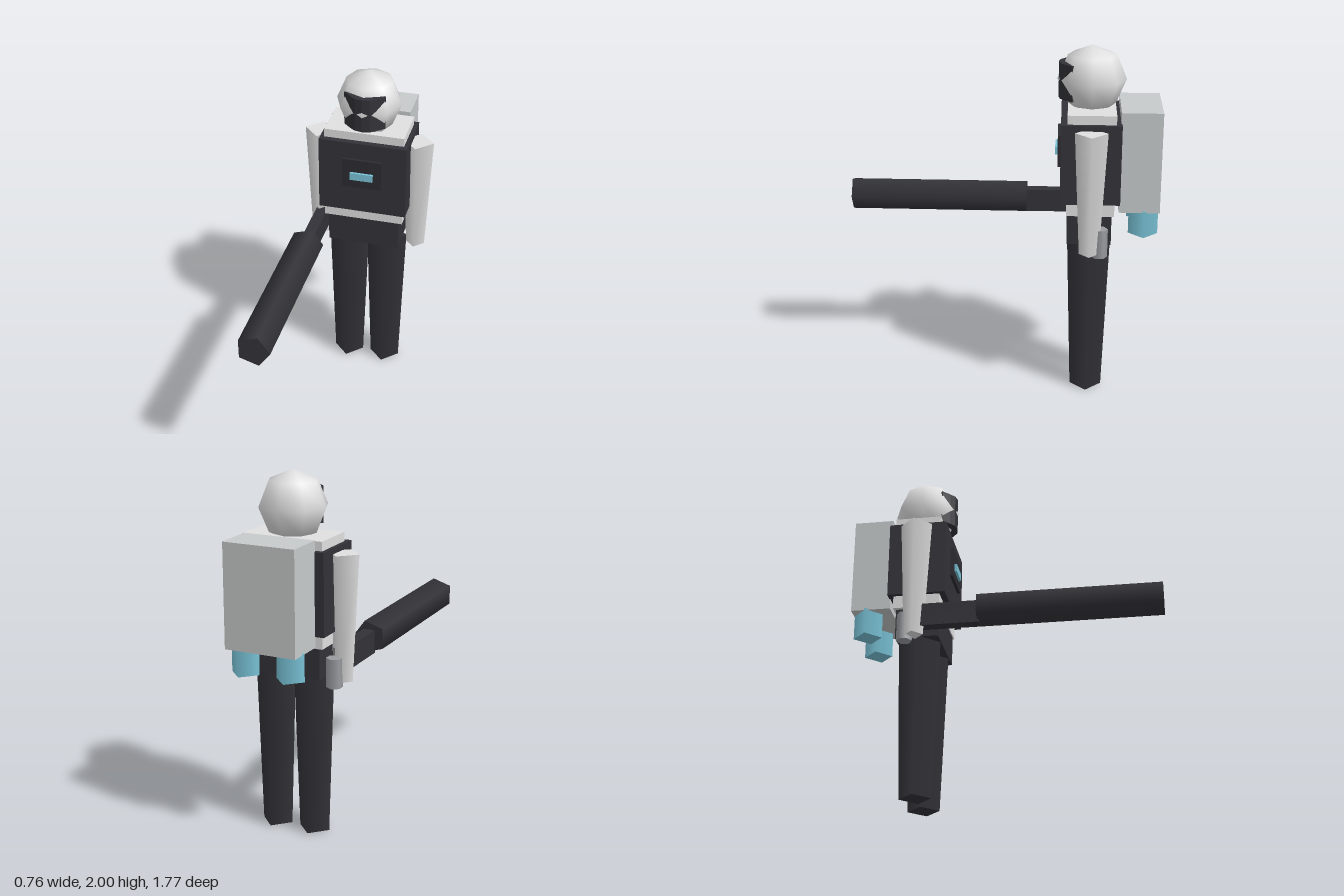
import * as THREE from 'three';

const paint = (name, color) => {
  const m = new THREE.MeshStandardMaterial({ color });
  m.name = name;
  return m;
};

export function createModel() {
  const model = new THREE.Group();
  model.name = 'armouredFigure';

  const charcoal = paint('charcoal', 0x333238);
  const panelDark = paint('panelCharcoal', 0x2c2b31);
  const white = paint('offWhite', 0xe0e0e0);
  const packGrey = paint('packGrey', 0xc6caca);
  const handGrey = paint('handGrey', 0x999ba0);
  const cyan = paint('cyan', 0x7ac4d8);

  const add = (name, geometry, material, x, y, z) => {
    const mesh = new THREE.Mesh(geometry, material);
    mesh.name = name;
    mesh.position.set(x, y, z);
    model.add(mesh);
    return mesh;
  };
  // Box given by its lower and upper corners
  const box = (name, material, [x0, y0, z0], [x1, y1, z1]) =>
    add(name, new THREE.BoxGeometry(x1 - x0, y1 - y0, z1 - z0), material,
      (x0 + x1) / 2, (y0 + y1) / 2, (z0 + z1) / 2);
  // Upright tapered post between two heights
  const post = (name, material, rTop, rBottom, y0, y1, x, z, sides = 4) =>
    add(name, new THREE.CylinderGeometry(rTop, rBottom, y1 - y0, sides), material, x, (y0 + y1) / 2, z);

  // Head
  add('head', new THREE.SphereGeometry(0.19, 8, 4), white, 0, 1.81, -0.5);

  // Visor: a bent band that pokes through the faceted head
  const half = [[0.045, 0.174], [0.075, 0.15], [0.12, 0.109]];
  const outline = [
    ...half.map(([x, z]) => [-x, z]).reverse(), [0, 0.183], ...half, [0.08, 0.08], [-0.08, 0.08],
  ].map(([x, z]) => new THREE.Vector2(x, -z));
  const visor = new THREE.ExtrudeGeometry(new THREE.Shape(outline), { depth: 0.2, bevelEnabled: false });
  visor.translate(0, 0, -0.1).rotateX(-Math.PI / 2);
  add('visor', visor, charcoal, 0, 1.805, -0.5);

  // Body
  box('innerTorso', white, [-0.233, 1.09, -0.635], [0.233, 1.665, -0.37]);
  box('chestArmour', charcoal, [-0.257, 1.165, -0.665], [0.257, 1.615, -0.335]);
  box('chestPanel', panelDark, [-0.115, 1.335, -0.34], [0.115, 1.515, -0.318]);
  box('chestLight', cyan, [-0.067, 1.39, -0.32], [0.067, 1.435, -0.304]);
  box('pelvis', charcoal, [-0.21, 0.915, -0.622], [0.21, 1.095, -0.376]);
  box('backpack', packGrey, [-0.205, 1.105, -0.886], [0.205, 1.675, -0.66]);

  // Paired parts
  for (const [side, s] of [['left', 1], ['right', -1]]) {
    post(side + 'Leg', charcoal, 0.121, 0.09, 0, 0.93, s * 0.115, -0.5);
    post(side + 'Arm', white, 0.09, 0.055, 0.89, 1.585, s * 0.29, -0.5);
    post(side + 'Hand', handGrey, 0.045, 0.045, 0.867, 1.03, s * 0.265, -0.557, 6);
    post(side + 'Thruster', cyan, 0.082, 0.082, 0.96, 1.115, s * 0.132, -0.8);
  }

  // Long five-sided cannon held forward on the right
  const barrel = new THREE.CylinderGeometry(0.0965, 0.0965, 1.025, 5);
  barrel.rotateY(Math.PI / 2).rotateX(Math.PI / 2);
  add('cannonBarrel', barrel, charcoal, -0.277, 1.026, 0.374);
  box('cannonGrip', charcoal, [-0.306, 0.938, -0.52], [-0.24, 1.07, -0.13]);

  return model;
}
